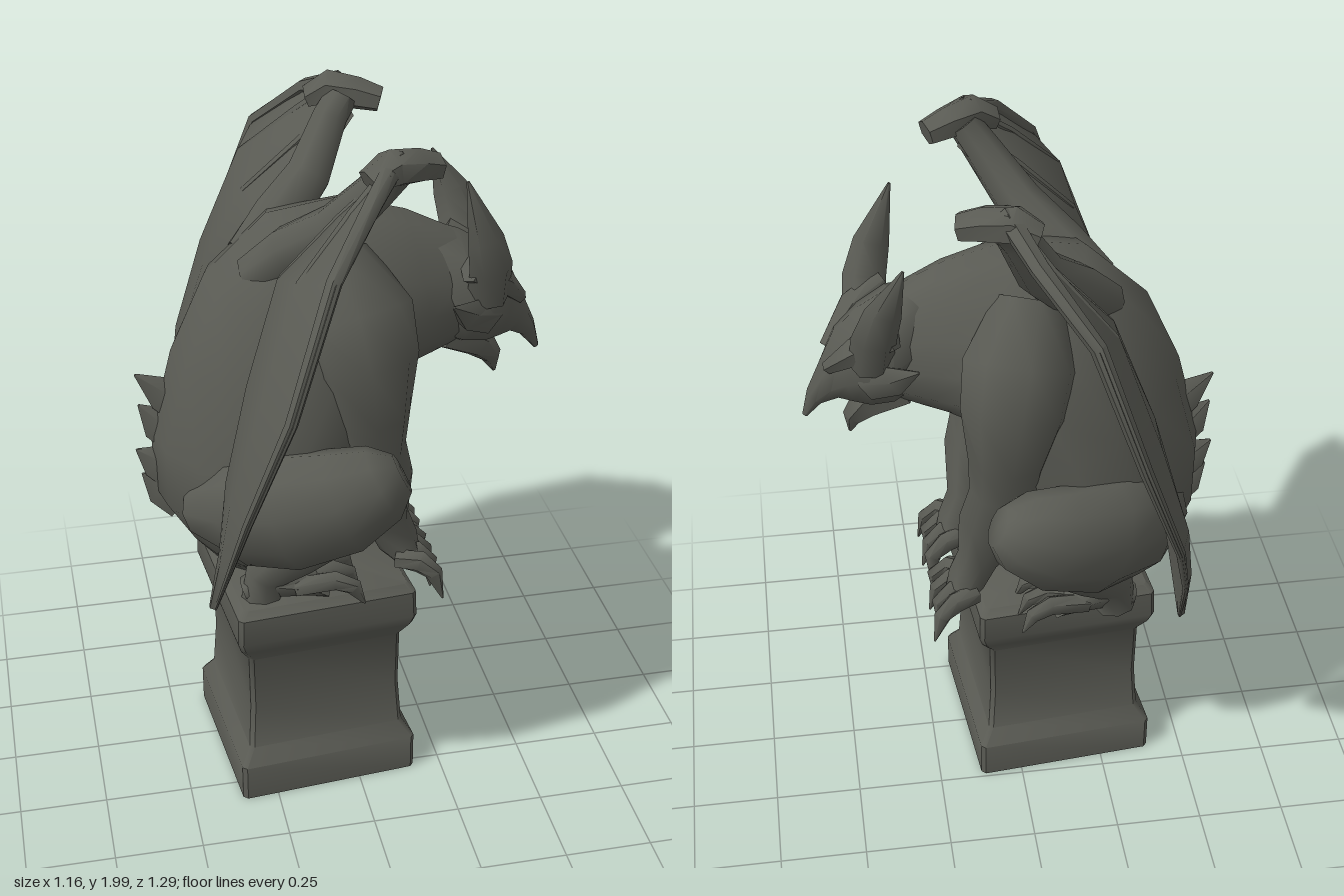
import * as THREE from 'three';
import { toCreasedNormals } from 'three/addons/utils/BufferGeometryUtils.js';

const V = (x, y, z) => new THREE.Vector3(x, y, z);

// Skin a series of closed rings, with caps; rings turn counter-clockwise about the path
function loft(rings, crease = 1) {
  const n = rings[0].length, pos = [], idx = [];
  rings.forEach(r => r.forEach(p => pos.push(p.x, p.y, p.z)));
  for (let i = 0; i < rings.length - 1; i++) {
    for (let j = 0; j < n; j++) {
      const k = (j + 1) % n, a = i * n + j, b = i * n + k;
      idx.push(a, b, a + n, b, b + n, a + n);
    }
  }
  [0, rings.length - 1].forEach(i => {
    const c = rings[i].reduce((s, p) => s.add(p), V(0, 0, 0)).divideScalar(n);
    const m = pos.length / 3;
    pos.push(c.x, c.y, c.z);
    for (let j = 0; j < n; j++) {
      const a = i * n + j, b = i * n + (j + 1) % n;
      if (i) idx.push(m, a, b); else idx.push(m, b, a);
    }
  });
  const g = new THREE.BufferGeometry();
  g.setAttribute('position', new THREE.Float32BufferAttribute(pos, 3));
  g.setIndex(idx);
  return toCreasedNormals(g, crease);
}

// Oval ring, narrowed towards u by the ridge amount
function oval(c, u, v, n, ridge = 0) {
  return Array.from({ length: n }, (_, j) => {
    const a = j / n * Math.PI * 2, cos = Math.cos(a);
    return c.clone().addScaledVector(u, cos).addScaledVector(v, Math.sin(a) * (1 - ridge * cos));
  });
}

// Tapered limb through [x, y, z, radius, side radius], mirrored in z by s
function limb(pts, s = 1, n = 8) {
  const c = pts.map(p => V(p[0], p[1], p[2] * s));
  return loft(pts.map((p, i) => {
    const t = c[Math.min(i + 1, c.length - 1)].clone().sub(c[Math.max(i - 1, 0)]).normalize();
    const u = t.clone().cross(V(0, 0, 1)).normalize();
    const v = t.clone().cross(u);
    return oval(c[i], u.multiplyScalar(p[3]), v.multiplyScalar(p[4] ?? p[3]), n);
  }));
}

// Trunk from [topX, topY, bottomX, bottomY, half width]
function trunk(sections, n, ridge) {
  return loft(sections.map(([tx, ty, bx, by, w]) =>
    oval(V((tx + bx) / 2, (ty + by) / 2, 0), V((tx - bx) / 2, (ty - by) / 2, 0), V(0, 0, w), n, ridge)));
}

export function createModel() {
  const model = new THREE.Group();
  const stone = new THREE.MeshStandardMaterial({ color: 0x5a5b54 });
  stone.name = 'dark stone';
  const add = (name, geo, parent = model) => {
    const m = new THREE.Mesh(geo, stone);
    m.name = name;
    parent.add(m);
    return m;
  };

  // Square pedestal with a waisted shaft, set slightly askew
  const profile = [[0.263, 0], [0.263, 0.11], [0.232, 0.16], [0.223, 0.3], [0.225, 0.47],
    [0.254, 0.52], [0.263, 0.55], [0.26, 0.63], [0.24, 0.652]];
  const pedestal = add('pedestal', loft(profile.map(([r, y]) => {
    const e = r - 0.012;
    return [[r, e], [r, -e], [e, -r], [-e, -r], [-r, -e], [-r, e], [-e, r], [e, r]].map(([x, z]) => V(x, y, z));
  }), 0.7));
  pedestal.position.set(-0.115, 0, 0.045);
  pedestal.rotation.y = 0.09;

  // Hunched body and neck, ridged along the spine
  add('body', trunk([
    [-0.36, 0.65, -0.16, 0.65, 0.12], [-0.45, 0.77, -0.12, 0.73, 0.25], [-0.53, 0.9, -0.06, 0.84, 0.32],
    [-0.535, 1.08, 0.01, 0.99, 0.32], [-0.47, 1.33, 0.09, 1.12, 0.3], [-0.37, 1.55, 0.13, 1.21, 0.28],
    [-0.2, 1.71, 0.16, 1.25, 0.25], [0, 1.74, 0.2, 1.26, 0.2], [0.18, 1.69, 0.25, 1.27, 0.15],
    [0.32, 1.62, 0.33, 1.3, 0.11]], 14, 0.28));

  // Head with hooked beak and lower jaw
  const head = new THREE.Group();
  head.name = 'head';
  model.add(head);
  add('skull', trunk([
    [0.25, 1.65, 0.24, 1.32, 0.1], [0.33, 1.62, 0.33, 1.28, 0.15], [0.41, 1.57, 0.39, 1.28, 0.145],
    [0.48, 1.5, 0.43, 1.29, 0.11], [0.525, 1.4, 0.47, 1.3, 0.065], [0.56, 1.32, 0.52, 1.28, 0.035],
    [0.578, 1.24, 0.565, 1.23, 0.006]], 8, 0), head);
  add('jaw', limb([[0.3, 1.32, 0, 0.06, 0.08], [0.4, 1.27, 0, 0.05, 0.06],
    [0.44, 1.22, 0, 0.03, 0.035], [0.45, 1.17, 0, 0.005]], 1, 6), head);

  // Spikes along the lower spine
  [[-0.5, 1.2, -0.57, 1.265], [-0.52, 1.11, -0.565, 1.17], [-0.53, 0.99, -0.578, 1.03], [-0.52, 0.9, -0.565, 0.95]]
    .forEach(([x, y, tx, ty]) => add('spineSpike',
      limb([[x + 0.06, y - 0.04, 0, 0.07, 0.045], [x, y, 0, 0.055, 0.03], [tx, ty, 0, 0.004]], 1, 5)));

  for (const s of [1, -1]) {
    const side = s > 0 ? 'right' : 'left';

    // Leaf-shaped horn, brow and cheek spike
    add(side + 'Horn', limb([[0.39, 1.46, 0.11, 0.06, 0.05], [0.38, 1.57, 0.16, 0.06, 0.045],
      [0.355, 1.66, 0.185, 0.05, 0.03], [0.3, s > 0 ? 1.83 : 1.78, 0.185, 0.004]], s, 6), head);
    add(side + 'Brow', limb([[0.33, 1.56, 0.14, 0.04], [0.42, 1.51, 0.11, 0.04, 0.05], [0.5, 1.42, 0.05, 0.02]], s, 6), head);
    add(side + 'CheekSpike', limb([[0.4, 1.4, 0.1, 0.06, 0.04], [0.33, 1.43, 0.15, 0.05, 0.03],
      [0.27, 1.48, 0.2, 0.004]], s, 5), head);

    // Arm reaching down to the front rim
    add(side + 'Arm', limb([[-0.04, 1.62, 0.11, 0.1, 0.08], [0, 1.48, 0.2, 0.16, 0.11], [0.02, 1.36, 0.235, 0.15, 0.1],
      [0.04, 1.2, 0.23, 0.11, 0.085], [0.045, 1.08, 0.205, 0.1, 0.08], [0.065, 0.95, 0.18, 0.11, 0.085],
      [0.11, 0.8, 0.14, 0.065, 0.06], [0.145, 0.72, 0.135, 0.06, 0.065], [0.18, 0.66, 0.135, 0.035, 0.07]], s));
    for (let i = 0; i < 4; i++) {
      const d = (i - 1.5) * 0.055;
      add(side + 'Finger', limb([[0.13, 0.69, 0.135 + d * 0.6, 0.03], [0.19, 0.69, 0.135 + d, 0.035, 0.028],
        [0.23, 0.655, 0.135 + d * 1.15, 0.026, 0.022], [0.235 + 0.02 * (i % 2), 0.57, 0.135 + d * 1.25, 0.003]], s, 6));
    }

    // Folded hind leg
    add(side + 'Thigh', limb([[-0.4, 0.91, 0.12, 0.1, 0.1], [-0.31, 0.94, 0.23, 0.17, 0.13], [-0.2, 0.97, 0.31, 0.18, 0.13],
      [-0.06, 1.02, 0.365, 0.16, 0.115], [0.04, 1.075, 0.385, 0.115, 0.095], [0.09, 1.1, 0.39, 0.06, 0.05]], s, 10));
    add(side + 'Shin', limb([[0.04, 1.08, 0.37, 0.08], [-0.06, 0.96, 0.34, 0.1, 0.09], [-0.18, 0.82, 0.28, 0.075, 0.075],
      [-0.26, 0.73, 0.24, 0.06, 0.055], [-0.27, 0.64, 0.23, 0.06, 0.05]], s));
    add(side + 'Foot', limb([[-0.32, 0.67, 0.22, 0.03, 0.04], [-0.23, 0.705, 0.225, 0.06, 0.06],
      [-0.13, 0.69, 0.23, 0.04, 0.07], [-0.09, 0.66, 0.23, 0.02, 0.06]], s));
    for (let i = 0; i < 3; i++) {
      const d = (i - 1) * 0.06;
      add(side + 'Toe', limb([[-0.18, 0.69, 0.23 + d * 0.6, 0.03], [-0.07, 0.71, 0.23 + d, 0.032, 0.026],
        [-0.02, 0.69, 0.23 + d * 1.2, 0.025, 0.02], [0.01, 0.635, 0.23 + d * 1.3, 0.003]], s, 6));
    }

    // Cupped wing membrane: inner and outer edge, row by row, rooted on the upper back
    const wing = new THREE.Group();
    wing.name = side + 'Wing';
    model.add(wing);
    // The left wing is held a little closer in at the wrist and lower at the tip
    const tipY = s > 0 ? 0.78 : 0.7, tipZ = s > 0 ? 0.43 : 0.35;
    const dx = s > 0 ? 0 : -0.03, dz = s > 0 ? 0 : -0.06;
    const rows = [
      [V(0.11 + dx, 1.89, 0.25 + dz), V(0.08 + dx, 1.985, 0.35 + dz)],
      [V(-0.03, 1.75, 0.19 + dz / 2), V(-0.01, 1.9, 0.47 + dz / 2)],
      [V(-0.17, 1.6, 0.14), V(-0.13, 1.76, 0.585)], [V(-0.27, 1.4, 0.24), V(-0.25, 1.42, 0.645)],
      [V(-0.34, 1.18, 0.34), V(-0.36, 1.12, 0.605)], [V(-0.38, 0.97, (0.4 + tipZ) / 2 - 0.02), V(-0.4, 0.93, 0.525)],
      [V(-0.43, tipY, tipZ - 0.01), V(-0.43, tipY - 0.01, tipZ + 0.015)]];
    const at = ([a, b], k, off) => {
      const p = a.clone().lerp(b, k);
      p.x += off - 0.5 * a.distanceTo(b) * k * (1 - k);
      return p;
    };
    const rings = rows.map(r => {
      const ring = [at(r, 0.35, 0.008), at(r, 0.7, 0.008), at(r, 1, 0), at(r, 0.7, -0.012), at(r, 0.35, -0.012), at(r, 0, 0)];
      ring.forEach(p => { p.z *= s; });
      return s > 0 ? ring : ring.reverse();
    });
    add('membrane', loft(rings, 0.8), wing);

    // Finger bones along the wing, the last one forming its outer edge
    [0.35, 0.7, 1].forEach(k => add('wingBone', limb(rows.map((r, i) => {
      const p = at(r, k, 0), w = (k === 1 ? 0.03 : 0.016) * (1 - i / 7);
      return [p.x, Math.min(p.y, 1.965), p.z - (k === 1 ? w : 0), w];
    }), s, 6), wing));

    // Wing arm from the shoulder blade to the wrist and its thumb
    add('wingArm', limb([[-0.25, 1.56, 0.06, 0.06], [-0.15, 1.64, 0.11, 0.08, 0.07], [-0.05, 1.74, 0.2 + dz / 2, 0.065],
      [0.05 + dx, 1.88, 0.28 + dz, 0.05, 0.055], [0.085 + dx, 1.93, 0.3 + dz, 0.045, 0.06]], s), wing);
    add('wingWrist', limb([[0.0 + dx, 1.92, 0.35 + dz, 0.03, 0.05], [0.06 + dx, 1.945, 0.335 + dz, 0.05, 0.06],
      [0.13 + dx, 1.935, 0.3 + dz, 0.045, 0.055], [0.19 + dx, 1.92, 0.28 + dz, 0.035, 0.045]], s, 6), wing);
  }
  return model;
}
